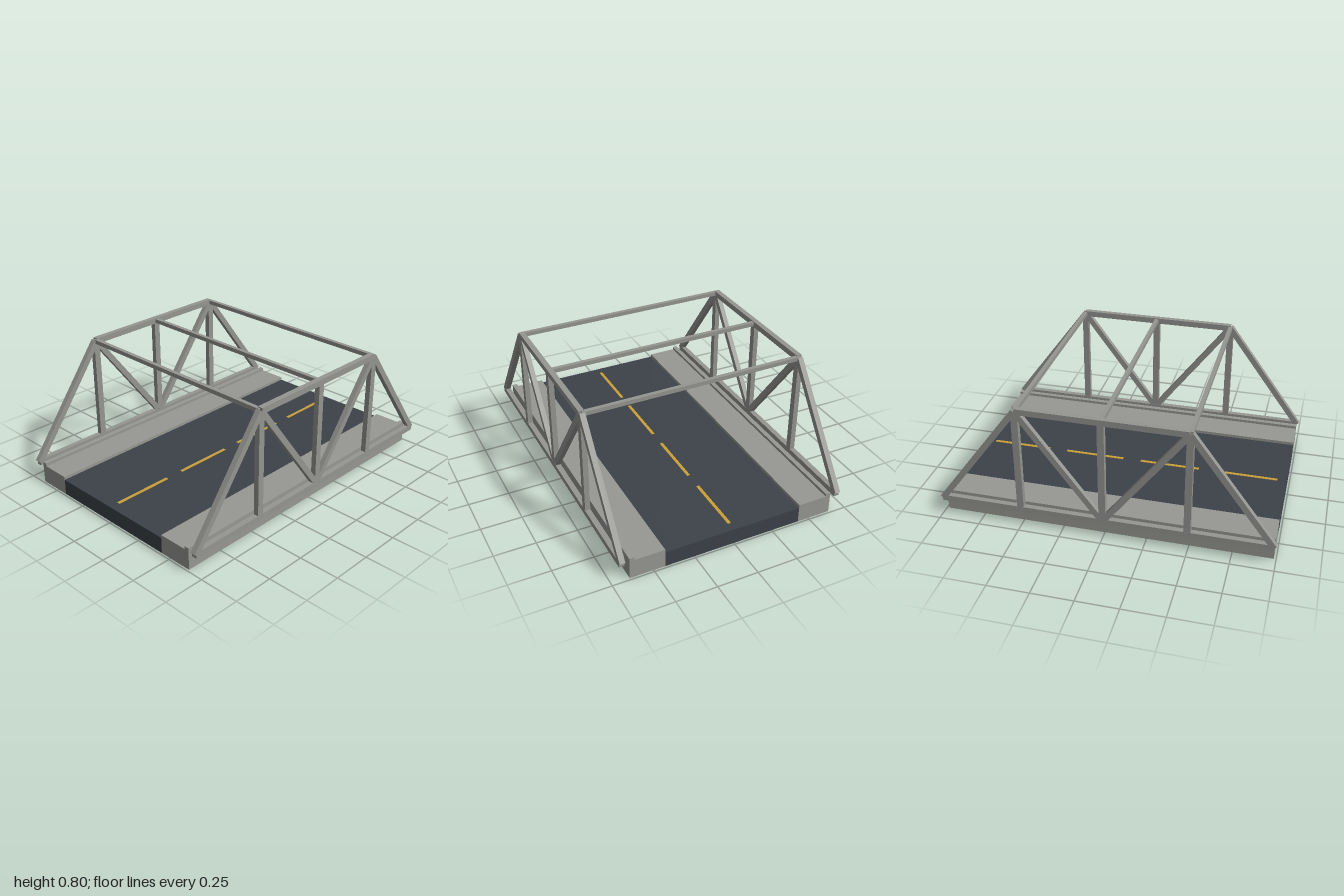
import * as THREE from 'three';

const HALF = 0.987;      // half length of the deck
const TRUSS_X = 0.687;   // centre plane of each truss
const LOW = 0.119, HIGH = 0.778, PANEL = 0.495;

const mat = (name, color, side = THREE.FrontSide) => {
  const m = new THREE.MeshStandardMaterial({ color, side });
  m.name = name;
  return m;
};

// Open-bottomed shell: a left-to-right profile swept along z, closed by two end plates
function shell(name, profile, material) {
  const group = new THREE.Group();
  group.name = name;
  const pos = [];
  for (let i = 0; i < profile.length - 1; i++) {
    const [ax, ay] = profile[i], [bx, by] = profile[i + 1];
    pos.push(ax, ay, HALF, bx, by, HALF, bx, by, -HALF);
    pos.push(ax, ay, HALF, bx, by, -HALF, ax, ay, -HALF);
  }
  const skin = new THREE.BufferGeometry();
  skin.setAttribute('position', new THREE.Float32BufferAttribute(pos, 3));
  skin.computeVertexNormals();
  const top = new THREE.Mesh(skin, material);
  top.name = name + 'Surface';
  group.add(top);

  const first = profile[0], last = profile[profile.length - 1];
  const outline = [[first[0], 0], ...profile, [last[0], 0]].map(([x, y]) => new THREE.Vector2(x, y));
  for (const z of [HALF, -HALF]) {
    const plate = new THREE.Mesh(new THREE.ShapeGeometry(new THREE.Shape(outline)), material);
    plate.name = name + 'EndPlate';
    plate.position.z = z;
    group.add(plate);
  }
  return group;
}

// Straight bar between two (z, y) points in a truss plane
function bar(name, z1, y1, z2, y2, thick, width, material) {
  const length = Math.hypot(z2 - z1, y2 - y1);
  const mesh = new THREE.Mesh(new THREE.BoxGeometry(width, thick, length), material);
  mesh.name = name;
  mesh.position.set(0, (y1 + y2) / 2, (z1 + z2) / 2);
  mesh.rotation.x = -Math.atan2(y2 - y1, z2 - z1);
  return mesh;
}

function truss(name, material) {
  const group = new THREE.Group();
  group.name = name;
  const add = (part, z1, y1, z2, y2, thick = 0.036, width = 0.033) =>
    group.add(bar(part, z1, y1, z2, y2, thick, width, material));

  add('bottomChord', -HALF, LOW, HALF, LOW);
  add('topChord', -PANEL, HIGH, PANEL, HIGH);
  for (const z of [-PANEL, 0, PANEL]) add('post', z, LOW, z, HIGH, 0.04, 0.032);
  for (const s of [-1, 1]) {
    add('endDiagonal', s * PANEL, HIGH, s * 0.985, LOW);
    add('innerDiagonal', s * PANEL, HIGH, 0, LOW, 0.036, 0.031);
  }
  return group;
}

export function createModel() {
  const model = new THREE.Group();
  model.name = 'trussBridge';
  const concrete = mat('concreteGrey', 0x979893, THREE.DoubleSide);
  const steel = mat('steelGrey', 0x959691);
  const asphalt = mat('asphalt', 0x3d4249, THREE.DoubleSide);
  const yellow = mat('laneYellow', 0xc9a03a);

  // Deck: road with a raised, kerbed walkway on each side
  model.add(shell('road', [[-0.43, 0.099], [0.43, 0.099]], asphalt));
  const walkway = [[0.43, 0.099], [0.43, 0.118], [0.613, 0.118], [0.613, 0.136], [0.643, 0.136], [0.643, 0]];
  const mirrored = walkway.map(([x, y]) => [-x, y]).reverse();
  model.add(shell('leftWalkway', walkway, concrete), shell('rightWalkway', mirrored, concrete));

  // Dashed centre line
  for (const z of [-0.741, -0.247, 0.247, 0.741]) {
    const dash = new THREE.Mesh(new THREE.BoxGeometry(0.02, 0.003, 0.377), yellow);
    dash.name = 'laneDash';
    dash.position.set(0, 0.1005, z);
    model.add(dash);
  }

  // Side trusses
  for (const [name, s] of [['leftTruss', 1], ['rightTruss', -1]]) {
    const side = truss(name, steel);
    side.position.x = s * TRUSS_X;
    model.add(side);
  }

  // Overhead cross beams joining the trusses
  for (const z of [-PANEL, 0, PANEL]) {
    const beam = new THREE.Mesh(new THREE.BoxGeometry(TRUSS_X * 2, 0.025, 0.025), steel);
    beam.name = 'crossBeam';
    beam.position.set(0, HIGH, z);
    model.add(beam);
  }
  return model;
}
